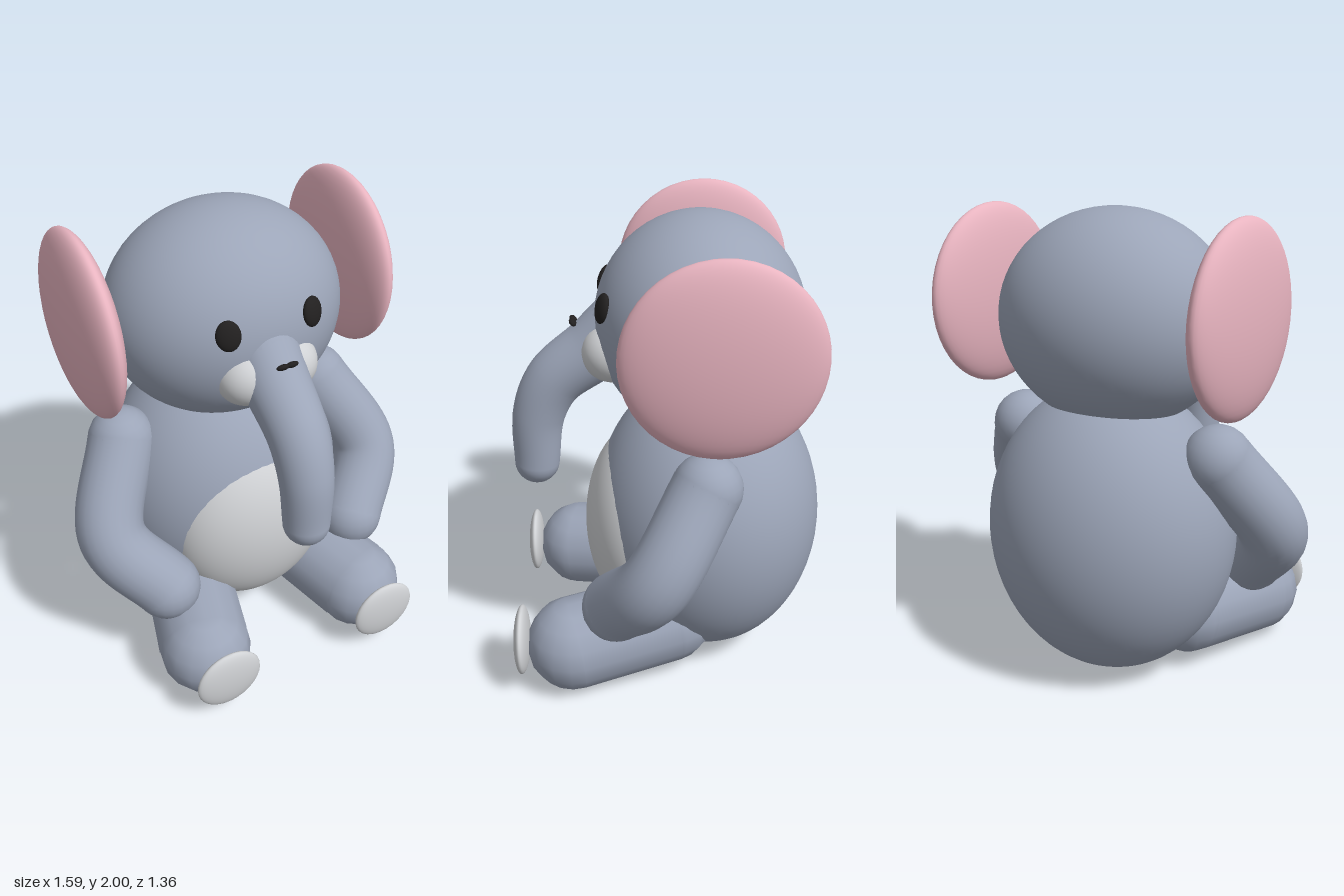
import * as THREE from 'three';
import { mergeGeometries } from 'three/addons/utils/BufferGeometryUtils.js';

const paint = (color) => new THREE.MeshStandardMaterial({ color });

export function createModel() {
  const model = new THREE.Group();
  const skin = paint(0x9ca5b8);
  const pale = paint(0xd0d2d5);
  const pink = paint(0xe8b4c0);
  const dark = paint(0x222020);

  function add(name, geometry, material) {
    const mesh = new THREE.Mesh(geometry, material);
    mesh.name = name;
    model.add(mesh);
    return mesh;
  }

  // Ellipsoid from centre and radii
  function ellipsoid(name, center, radii, material, segments = 48) {
    const mesh = add(name, new THREE.SphereGeometry(1, segments, segments / 2), material);
    mesh.position.set(...center);
    mesh.scale.set(...radii);
    return mesh;
  }

  // Round-ended tube through points, tapering from r0 to r1
  function limb(name, points, r0, r1, material, sides = 24) {
    const curve = new THREE.CatmullRomCurve3(points.map((p) => new THREE.Vector3(...p)));
    const steps = 32;
    const tube = new THREE.TubeGeometry(curve, steps, 1, sides);
    const pos = tube.attributes.position;
    const v = new THREE.Vector3();
    for (let i = 0; i < pos.count; i++) {
      const t = Math.floor(i / (sides + 1)) / steps;
      const c = curve.getPointAt(t);
      v.fromBufferAttribute(pos, i).sub(c).multiplyScalar(r0 + (r1 - r0) * t).add(c);
      pos.setXYZ(i, v.x, v.y, v.z);
    }
    const ends = [[0, r0], [1, r1]].map(([t, r]) => {
      const c = curve.getPointAt(t);
      return new THREE.SphereGeometry(r, sides, sides / 2).translate(c.x, c.y, c.z);
    });
    return add(name, mergeGeometries([tube, ...ends]), material);
  }

  // Body and head
  ellipsoid('body', [0, 0.65, -0.18], [0.55, 0.64, 0.5], skin, 64);
  ellipsoid('belly', [0, 0.6, 0.1], [0.395, 0.45, 0.265], pale, 64);
  ellipsoid('head', [0, 1.55, -0.14], [0.51, 0.45, 0.44], skin, 64);

  // Trunk
  limb('trunk', [
    [0, 1.52, 0.2], [0, 1.43, 0.3], [0, 1.29, 0.475], [0, 1.13, 0.55], [0, 0.9, 0.57],
  ], 0.145, 0.098, skin, 32);

  // Mirrored parts
  for (const s of [1, -1]) {
    const side = s > 0 ? 'left' : 'right';

    ellipsoid(side + 'Ear', [s * 0.6, 1.607, -0.187], [0.093, 0.387, 0.387], pink);
    ellipsoid(side + 'Cheek', [s * 0.095, 1.45, 0.225], [0.125, 0.125, 0.128], pale, 32);

    const eye = ellipsoid(side + 'Eye', [s * 0.185, 1.67, 0.258], [0.05, 0.062, 0.024], dark, 24);
    eye.rotation.set(-0.25, s * 0.35, 0);

    const nostril = ellipsoid(side + 'Nostril', [s * 0.02, 1.552, 0.386], [0.028, 0.012, 0.018], dark, 16);
    nostril.rotation.x = -0.7;

    limb(side + 'Arm', [
      [s * 0.49, 1.025, -0.145], [s * 0.65, 0.69, 0.06], [s * 0.48, 0.455, 0.225],
    ], 0.145, 0.147, skin);

    limb(side + 'Leg', [[s * 0.28, 0.25, 0], [s * 0.4, 0.208, 0.42]], 0.2, 0.203, skin, 16);
    ellipsoid(side + 'FootPad', [s * 0.4, 0.23, 0.643], [0.15, 0.15, 0.035], pale, 32);
  }

  return model;
}
